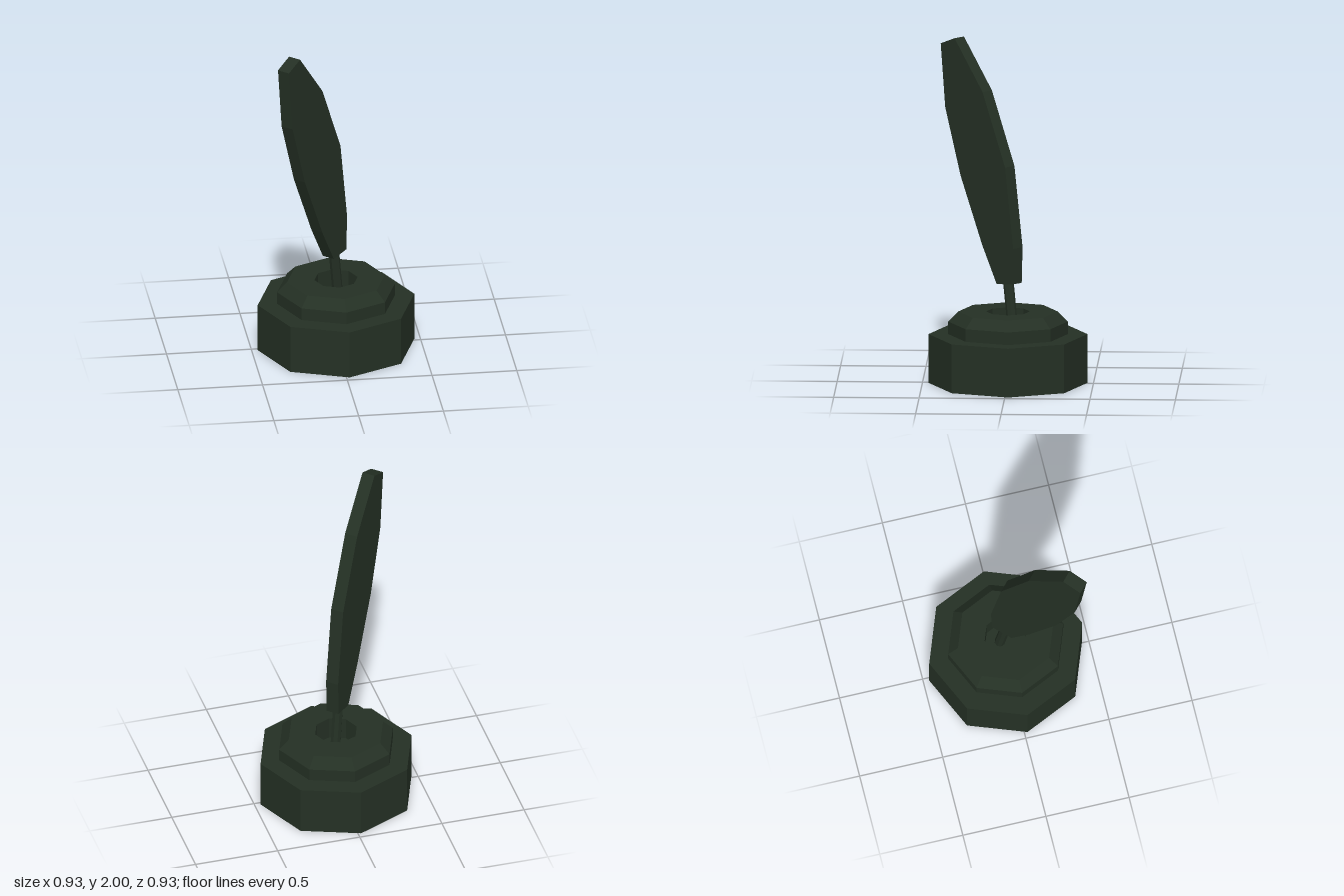
import * as THREE from 'three';

const TURN = 0.04; // slight twist shared by the octagonal stand

// Gives every face its own normal for a faceted look
function faceted(geometry) {
  const g = geometry.index ? geometry.toNonIndexed() : geometry;
  g.computeVertexNormals();
  return g;
}

export function createModel() {
  const model = new THREE.Group();
  model.name = 'quillAndInkwell';
  const darkGreen = new THREE.MeshStandardMaterial({ color: 0x243024 });
  darkGreen.name = 'dark green';

  function add(parent, name, geometry) {
    const mesh = new THREE.Mesh(faceted(geometry), darkGreen);
    mesh.name = name;
    parent.add(mesh);
    return mesh;
  }

  function octagon(name, profile) {
    const points = profile.map(([r, y]) => new THREE.Vector2(r, y));
    return add(model, name, new THREE.LatheGeometry(points, 8, TURN));
  }

  // Wide base of the inkwell
  octagon('base', [[0, 0], [0.465, 0], [0.465, 0.29], [0, 0.29]]);

  // Bevelled collar with an open well
  octagon('collar', [[0.35, 0.29], [0.35, 0.365], [0.29, 0.425], [0.128, 0.425], [0.128, 0.291], [0, 0.291]]);

  // Quill leans within one upright plane; local x is the lean direction
  const quill = new THREE.Group();
  quill.name = 'quill';
  quill.rotation.y = -2.31;
  quill.position.set(-0.007, 0, -0.007);
  model.add(quill);

  // Feather blade
  const outline = [
    [-0.064, 0.597], [0.065, 0.583], [0.184, 0.8], [0.362, 1.19], [0.488, 1.58],
    [0.525, 1.955], [0.411, 2.0], [0.181, 1.71], [-0.004, 1.285], [-0.071, 0.81],
  ].map(([x, y]) => new THREE.Vector2(x, y));
  const thickness = 0.078;
  const blade = new THREE.ExtrudeGeometry(new THREE.Shape(outline), { depth: thickness, bevelEnabled: false });
  blade.translate(0, 0, -thickness / 2);
  add(quill, 'feather', blade);

  // Shaft running down into the well
  const foot = new THREE.Vector3(-0.034, 0.295, 0);
  const head = new THREE.Vector3(0.01, 0.62, 0);
  const axis = head.clone().sub(foot);
  const shaft = add(quill, 'shaft', new THREE.CylinderGeometry(0.031, 0.031, axis.length(), 8));
  shaft.position.copy(foot).add(head).multiplyScalar(0.5);
  shaft.quaternion.setFromUnitVectors(new THREE.Vector3(0, 1, 0), axis.normalize());

  return model;
}
